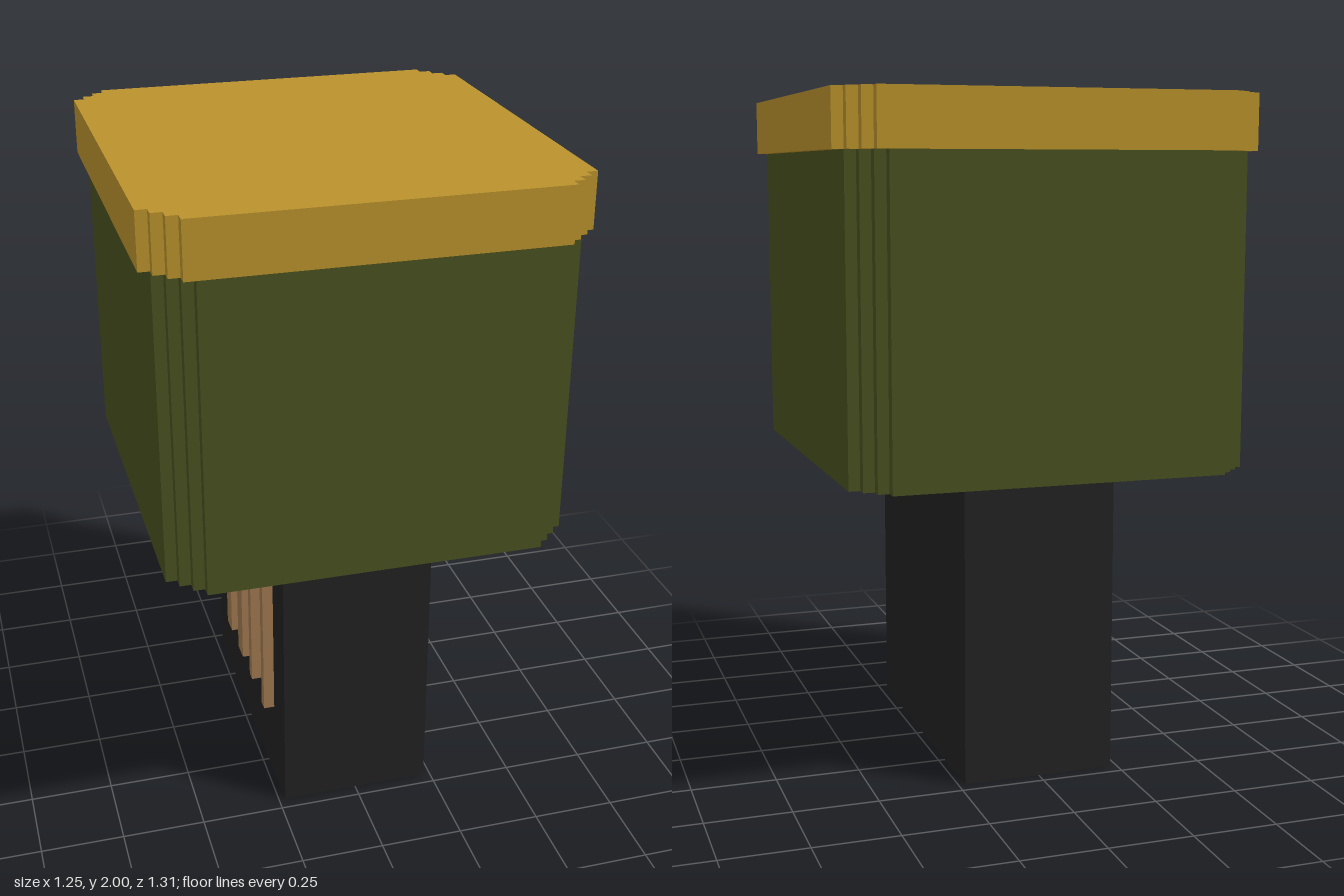
import * as THREE from 'three';

const U = 2 / 61; // one grid cell

function material(name, color) {
  const m = new THREE.MeshStandardMaterial({ color });
  m.name = name;
  return m;
}

// Block given by its lower and upper corners in grid cells
function block(name, mat, [x0, y0, z0], [x1, y1, z1]) {
  const geo = new THREE.BoxGeometry((x1 - x0) * U, (y1 - y0) * U, (z1 - z0) * U);
  const mesh = new THREE.Mesh(geo, mat);
  mesh.name = name;
  mesh.position.set((x0 + x1) * U / 2, (y0 + y1) * U / 2, (z0 + z1) * U / 2);
  return mesh;
}

// Upright slab whose four corners are cut in three small stairs
function steppedSlab(name, mat, halfX, halfZ, y0, y1) {
  const corner = [];
  for (let i = 0; i < 4; i++) {
    corner.push([halfX - i, halfZ - 3 + i]);
    if (i < 3) corner.push([halfX - i - 1, halfZ - 3 + i]);
  }
  const flipped = [...corner].reverse();
  const outline = [
    ...corner,
    ...flipped.map(([x, z]) => [-x, z]),
    ...corner.map(([x, z]) => [-x, -z]),
    ...flipped.map(([x, z]) => [x, -z]),
  ];
  const shape = new THREE.Shape(outline.map(([x, z]) => new THREE.Vector2(x * U, z * U)));
  const geo = new THREE.ExtrudeGeometry(shape, { depth: (y1 - y0) * U, bevelEnabled: false });
  geo.rotateX(-Math.PI / 2);
  const mesh = new THREE.Mesh(geo, mat);
  mesh.name = name;
  mesh.position.y = y0 * U;
  return mesh;
}

export function createModel() {
  const gold = material('gold', 0xbb932c);
  const green = material('olive green', 0x495120);
  const black = material('black', 0x222222);
  const tan = material('tan', 0xa07a52);

  const model = new THREE.Group();
  model.name = 'cappedBlock';

  // Base, body and lid
  model.add(block('base', black, [-7, 0, -14], [7, 28, 14]));
  model.add(steppedSlab('body', green, 18, 20, 28, 56));
  model.add(steppedSlab('lid', gold, 19, 20, 56, 61));

  // Row of raised strips on one side of the base: start and width along z
  const strips = new THREE.Group();
  strips.name = 'strips';
  for (const [z, w] of [[-6, 2], [-1, 2], [4, 1], [9, 1]]) {
    strips.add(block('strip', tan, [-8, 8, z], [-7, 28, z + w]));
  }
  model.add(strips);

  return model;
}
